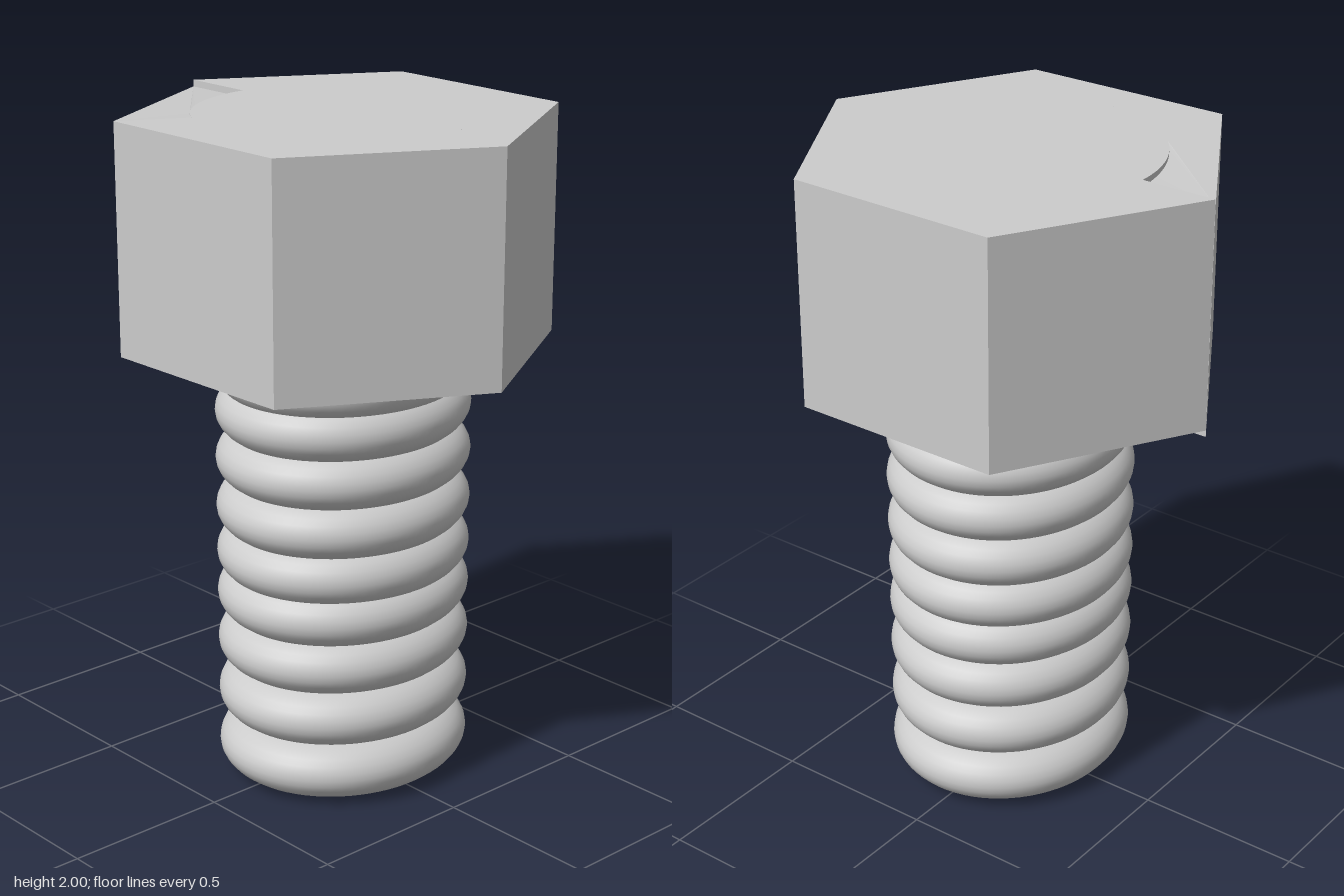
import * as THREE from 'three';

export function createModel() {
  const model = new THREE.Group();
  const grey = new THREE.MeshStandardMaterial({ color: 0xcccccc });
  const add = (name, geometry, parent = model) => {
    const mesh = new THREE.Mesh(geometry, grey);
    mesh.name = name;
    parent.add(mesh);
    return mesh;
  };

  // Hexagonal head: a collar split at its -x corner, drawn in (x, -z)
  const bottom = 1.32, top = 2, bore = 0.42, gap = 0.0005;
  const outline = [[-0.65, -gap], [-0.315, -0.555], [0.34, -0.545], [0.645, 0.01],
    [0.325, 0.555], [-0.33, 0.56], [-0.65, gap]].map(([x, y]) => new THREE.Vector2(x, y));
  const steps = 72;
  for (let i = 0; i <= steps; i++) {
    const a = Math.PI - 0.001 - (i / steps) * (2 * Math.PI - 0.002);
    outline.push(new THREE.Vector2(bore * Math.cos(a), bore * Math.sin(a)));
  }
  const head = new THREE.ExtrudeGeometry(new THREE.Shape(outline), { depth: top - bottom, bevelEnabled: false });
  head.rotateX(-Math.PI / 2).translate(0, bottom, 0);

  // The front end of the collar sags slightly towards the split
  const p = head.attributes.position;
  for (let i = 0; i < p.count; i++) {
    if (p.getZ(i) <= 0) continue;
    const angle = Math.atan2(p.getZ(i), p.getX(i));
    const t = THREE.MathUtils.clamp((angle - Math.PI * 2 / 3) / (Math.PI / 3), 0, 1);
    p.setY(i, p.getY(i) - 0.02 * t);
  }
  head.computeVertexNormals();
  add('head', head);

  // Plug filling the bore, flush with the top and recessed below
  const plugBottom = 1.37;
  add('headPlug', new THREE.CylinderGeometry(bore, bore, top - plugBottom, 72))
    .position.y = (top + plugBottom) / 2;

  // Slightly oval shaft: a core with stacked, flattened thread rings
  const shaft = new THREE.Group();
  shaft.name = 'shaft';
  shaft.position.x = 0.02;
  shaft.scale.x = 0.886;
  model.add(shaft);

  const coreBottom = 0.05, coreTop = 1.45;
  add('core', new THREE.CylinderGeometry(0.22, 0.22, coreTop - coreBottom, 48), shaft)
    .position.y = (coreTop + coreBottom) / 2;

  const ring = new THREE.TorusGeometry(0.265, 0.13, 28, 72);
  ring.rotateX(Math.PI / 2).scale(1, 0.7, 1);
  for (const y of [0.095, 0.265, 0.43, 0.58, 0.71, 0.85, 1.0, 1.145, 1.27]) {
    add('threadRing', ring, shaft).position.y = y;
  }

  return model;
}
